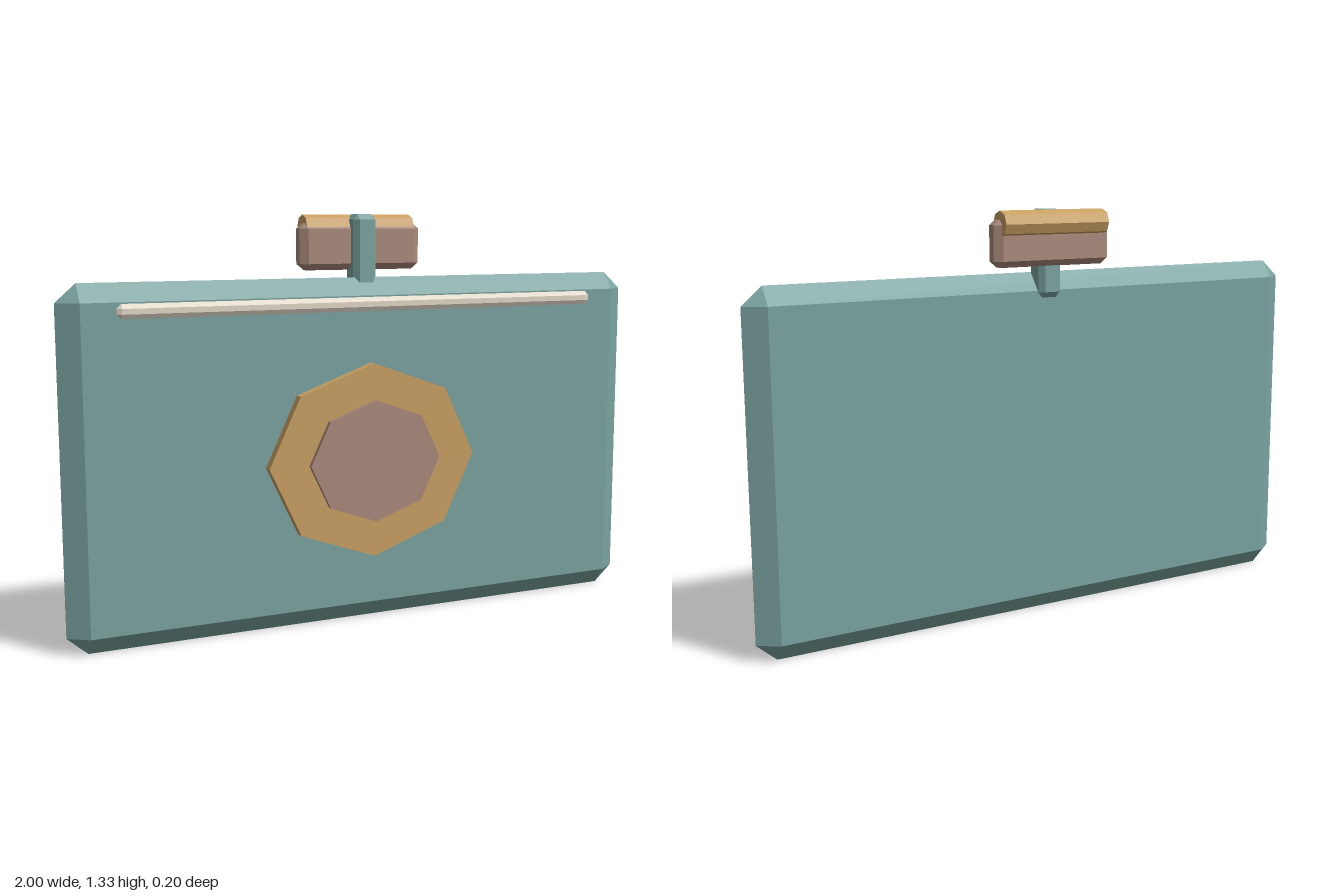
import * as THREE from 'three';
import { ConvexGeometry } from 'three/addons/geometries/ConvexGeometry.js';

const paint = (color) => new THREE.MeshStandardMaterial({ color, flatShading: true });

// Box from min to max corner, with every edge chamfered by (bx, by, bz)
function chamferBox(min, max, [bx, by, bz]) {
  const [hx, hy, hz] = max.map((v, i) => (v - min[i]) / 2);
  const points = [];
  for (const sx of [-1, 1]) for (const sy of [-1, 1]) for (const sz of [-1, 1]) {
    points.push(
      new THREE.Vector3(sx * hx, sy * (hy - by), sz * (hz - bz)),
      new THREE.Vector3(sx * (hx - bx), sy * hy, sz * (hz - bz)),
      new THREE.Vector3(sx * (hx - bx), sy * (hy - by), sz * hz)
    );
  }
  const center = max.map((v, i) => (v + min[i]) / 2);
  return new ConvexGeometry(points).translate(...center);
}

// Eight-sided plate facing +z, with a corner pointing up
function octagonPlate(rx, ry, y, z0, z1) {
  return new THREE.CylinderGeometry(1, 1, 1, 8)
    .rotateX(Math.PI / 2)
    .scale(rx, ry, z1 - z0)
    .translate(0, y, (z0 + z1) / 2);
}

export function createModel() {
  const group = new THREE.Group();
  const teal = paint(0x7aa3a0);
  const gold = paint(0xc9a063);
  const clay = paint(0xaa8a7c);
  const cream = paint(0xe0d8c8);

  const add = (name, geometry, material) => {
    const mesh = new THREE.Mesh(geometry, material);
    mesh.name = name;
    group.add(mesh);
  };

  // Main panel, its edges bevelled to a ridge
  add('panel', chamferBox([-1, 0.002, -0.037], [1, 1.132, 0.052], [0.065, 0.057, 0.0442]), teal);

  // Stacked emblem on the front
  add('emblemOuter', octagonPlate(0.365, 0.318, 0.541, 0.045, 0.084), gold);
  add('emblemInner', octagonPlate(0.23, 0.199, 0.541, 0.08, 0.1), clay);

  // Thin strip below the top edge
  add('trimStrip', chamferBox([-0.83, 1.026, 0.051], [0.83, 1.071, 0.073], [0.014, 0.014, 0.008]), cream);

  // Clip on the top edge: post, crossbar and rounded rail behind
  add('clipPost', chamferBox([-0.04, 1.053, -0.058], [0.04, 1.333, 0.021], [0.016, 0.018, 0.016]), teal);
  add('clipBar', chamferBox([-0.212, 1.155, -0.075], [0.212, 1.307, -0.012], [0.025, 0.02, 0.018]), clay);
  add('clipRail',
    new THREE.CylinderGeometry(0.042, 0.042, 0.38, 8).rotateZ(Math.PI / 2).translate(0, 1.29, -0.058),
    gold);

  return group;
}
